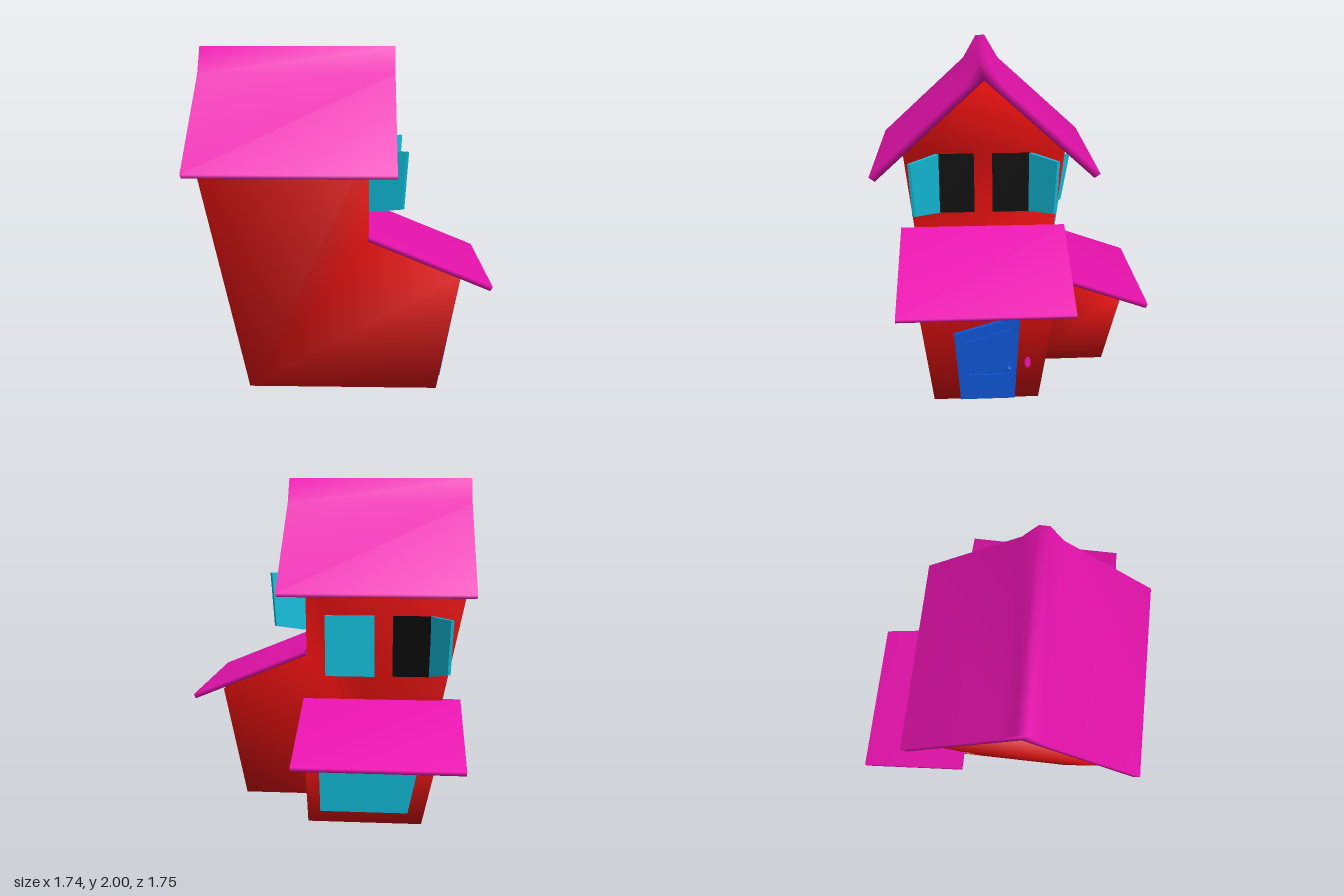
import * as THREE from 'three';
import { mergeGeometries, mergeVertices } from 'three/addons/utils/BufferGeometryUtils.js';

const MAGENTA = 0xe812ae, RED = 0xdc0f0f, BLUE = 0x1058dc, CYAN = 0x12bfdc, BLACK = 0x070707;
const EAVE = 1.44, APEX = 1.885, RIDGE_Z = 0.18;

// wall planes lean outwards with height
const frontZ = y => 0.51 + 0.11 * y;
const backZ = y => -0.12 - 0.128 * y;
const porchX = y => 0.57 + 0.17 * y;
const annexZ = y => -0.58 - 0.25 * y;

// straight prism from an outline, with an optional hole
function prism(points, depth, hole) {
  const shape = new THREE.Shape(points.map(p => new THREE.Vector2(...p)));
  if (hole) shape.holes.push(new THREE.Path(hole.map(p => new THREE.Vector2(...p))));
  return new THREE.ExtrudeGeometry(shape, { depth, bevelEnabled: false });
}

// prism whose outline is given as [z, y] and which runs along +x
const prismX = (points, depth, hole) => {
  const flip = list => list && list.map(([z, y]) => [-z, y]);
  return prism(flip(points), depth, flip(hole)).rotateY(Math.PI / 2);
};

// moves every vertex by a rule
function warp(geometry, rule) {
  const pos = geometry.attributes.position, v = new THREE.Vector3();
  for (let i = 0; i < pos.count; i++) {
    rule(v.fromBufferAttribute(pos, i));
    pos.setXYZ(i, v.x, v.y, v.z);
  }
  geometry.computeVertexNormals();
  return geometry;
}

// shares corner normals so the big forms shade softly
function smooth(geometry) {
  geometry.deleteAttribute('normal');
  geometry.deleteAttribute('uv');
  const merged = geometry.index ? geometry : mergeVertices(geometry, 1e-4);
  merged.computeVertexNormals();
  return merged;
}

// outline shrunk towards its centre, for frames
function inset(points, k) {
  const c = [0, 1].map(i => points.reduce((s, p) => s + p[i], 0) / points.length);
  return points.map(p => [c[0] + (p[0] - c[0]) * k, c[1] + (p[1] - c[1]) * k]);
}

export function createModel() {
  const house = new THREE.Group();
  house.name = 'house';
  const add = (name, geometry, color, parent = house) => {
    const mesh = new THREE.Mesh(geometry, new THREE.MeshStandardMaterial({ color }));
    mesh.name = name;
    parent.add(mesh);
    return mesh;
  };

  // main body: stepped outline plus gable, joined into one shell
  const lower = prism([[-0.54, 0], [0.57, 0], [0.69, 0.7], [0.165, 0.93], [0.165, EAVE], [-0.82, EAVE]], 1);
  const gable = prism([[-0.82, EAVE], [0.165, EAVE], [0.165, APEX], [-0.8, APEX]], 1);
  const shell = warp(mergeGeometries([lower, gable]), v => {
    v.z = v.y > EAVE + 0.01 ? RIDGE_Z : v.z > 0.5 ? frontZ(v.y) : backZ(v.y);
  });
  shell.deleteAttribute('normal');
  shell.deleteAttribute('uv');
  const body = mergeVertices(shell, 1e-4), ys = body.attributes.position, keep = [];
  for (let i = 0; i < body.index.count; i += 3) {
    const tri = [0, 1, 2].map(k => body.index.getX(i + k));
    const inner = [EAVE, APEX].some(h => tri.every(j => Math.abs(ys.getY(j) - h) < 1e-3));
    if (!inner) keep.push(...tri);
  }
  body.setIndex(keep);
  add('mainBody', smooth(body), RED);

  // lean-to at the back
  const annex = warp(prismX([[-0.1, 0], [-0.58, 0], [-0.69, 0.44], [-0.16, 0.625]], 1), v => {
    v.x = v.x > 0.5 ? 0.12 + 0.02 * v.y : -0.54 - 0.197 * v.y;
  });
  add('annexBody', smooth(annex), RED);

  // main roof with a steeper ridge cap
  const half = [[0.645, 1.31], [0.68, 1.335], [0.12, 1.845], [0.03, 2]];
  const roofLine = [
    ...half.map(([z, y]) => [RIDGE_Z + z, y]),
    ...half.slice().reverse().map(([z, y]) => [RIDGE_Z - z, y]),
    [RIDGE_Z, 1.895],
  ];
  add('mainRoof', smooth(prismX(roofLine, 1.155).translate(-0.84, 0, 0)), MAGENTA);

  // porch and annex roof slabs
  const porch = prism([[0.16, 0.94], [0.845, 0.66], [0.857, 0.685], [0.165, 0.967]], 1.005);
  add('porchRoof', smooth(porch.translate(0, 0, -0.308)), MAGENTA);
  const annexRoof = prismX([[-0.185, 0.625], [-0.845, 0.388], [-0.857, 0.415], [-0.185, 0.655]], 0.967);
  add('annexRoof', smooth(annexRoof.translate(-0.777, 0, 0)), MAGENTA);

  // door on the leaning porch wall
  const door = new THREE.Group();
  door.name = 'door';
  house.add(door);
  const onPorch = (geometry, lift) => warp(geometry, v => { v.x += porchX(v.y) + lift; });
  const outline = [[0.38, 0.49], [0.0, 0.61], [0.025, 0.015], [0.35, 0.015]];
  add('doorSlab', onPorch(prismX(outline, 0.03), -0.01), BLUE, door);
  add('doorFrame', onPorch(prismX(outline, 0.02, inset(outline, 0.9)), 0.012), BLUE, door);
  const panels = [
    [[0.32, 0.43], [0.055, 0.52], [0.068, 0.29], [0.295, 0.29]],
    [[0.3, 0.195], [0.06, 0.195], [0.1, 0.04], [0.265, 0.04]],
  ];
  for (const p of panels) {
    add('doorPanel', onPorch(prismX(p, 0.015, inset(p, 0.88)), 0.015), BLUE, door);
  }
  const plate = new THREE.CylinderGeometry(0.012, 0.012, 0.012, 12).rotateZ(Math.PI / 2).scale(1, 2.6, 1);
  add('knobPlate', plate, BLUE, door).position.set(porchX(0.24) + 0.022, 0.24, 0.06);
  add('doorKnob', new THREE.SphereGeometry(0.014, 12, 8), BLUE, door)
    .position.set(porchX(0.24) + 0.036, 0.24, 0.06);

  // bell push beside the door
  const bell = new THREE.CylinderGeometry(0.018, 0.018, 0.03, 16).rotateZ(Math.PI / 2).scale(1, 1.8, 1);
  add('bellPush', bell, MAGENTA).position.set(porchX(0.27) + 0.005, 0.27, -0.05);

  // shutter swung open from a hinge to a tip, both given as [x, z]
  const shutter = (name, hinge, tip, y0, y1, lean) => {
    const dx = tip[0] - hinge[0], dz = tip[1] - hinge[1], len = Math.hypot(dx, dz);
    const g = prism([[0, y0], [len * 0.9, y0 + 0.045], [len, y1], [0, y1]], 0.022);
    g.translate(0, 0, -0.011).rotateY(Math.atan2(-dz, dx)).translate(hinge[0], 0, hinge[1]);
    add(name, warp(g, v => { v.z += lean * (v.y - y1); }), CYAN);
  };

  // upper windows above the porch
  for (const [z0, z1] of [[0.245, 0.465], [-0.095, 0.135]]) {
    add('porchSideWindow', prismX([[z0, 1.06], [z1, 1.06], [z1, 1.43], [z0, 1.43]], 0.012)
      .translate(0.158, 0, 0), BLACK);
  }
  shutter('porchSideShutter', [0.165, 0.465], [0.378, 0.62], 1.06, 1.43, 0);
  shutter('porchSideShutter', [0.165, -0.095], [0.376, -0.243], 1.06, 1.43, 0);

  // upper back windows: one closed, one open
  const onBack = (points, depth, wall) => warp(prism(points, depth), v => { v.z += wall(v.y) - depth + 0.006; });
  add('closedBackShutter',
    onBack([[-0.25, 0.8], [0.05, 0.8], [0.05, 1.18], [-0.25, 1.18]], 0.03, backZ), CYAN);
  add('openBackWindow',
    onBack([[-0.58, 0.8], [-0.36, 0.8], [-0.36, 1.18], [-0.59, 1.18]], 0.014, backZ), BLACK);
  shutter('openBackShutter', [-0.59, -0.265], [-0.706, -0.437], 0.8, 1.18, -0.128);

  // annex window
  add('annexWindow',
    onBack([[-0.46, 0.08], [0.045, 0.08], [0.045, 0.37], [-0.515, 0.37]], 0.03, annexZ), CYAN);

  // the whole house stands slightly turned
  house.rotation.y = -0.035;
  const model = new THREE.Group();
  model.name = 'crookedHouse';
  model.add(house);
  return model;
}
